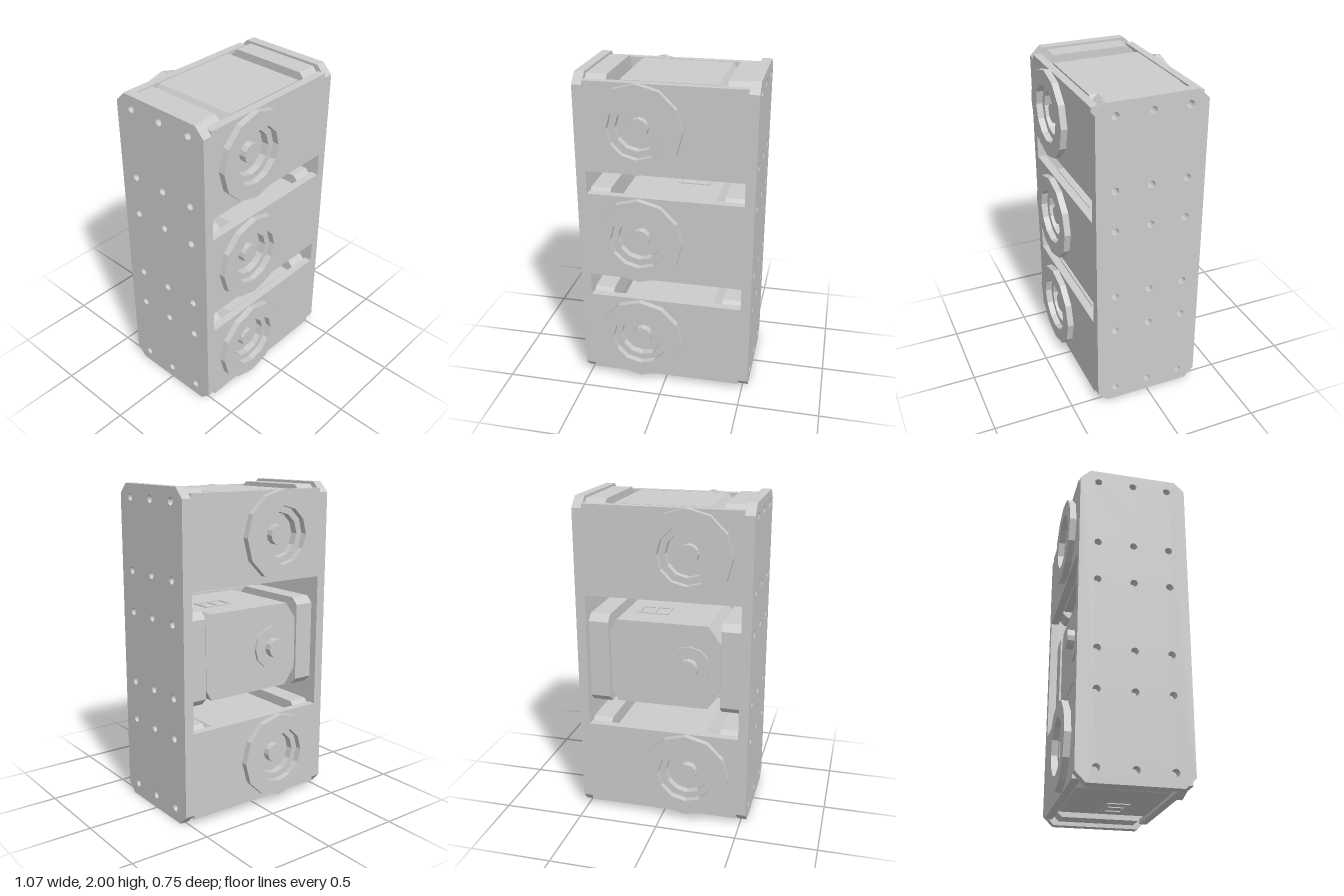
import * as THREE from 'three';

const material = new THREE.MeshStandardMaterial({ color: 0xcccccc, flatShading: true });
const SHAFT_X = -0.155;
const LEVELS = [0.31, 1.0, 1.7];

function polygon(points) {
  return new THREE.Shape(points.map(([x, y]) => new THREE.Vector2(x, y)));
}

// Rectangle with four equally cut corners
function chamferedRect(w, h, c, cy = 0) {
  const a = w / 2, b = h / 2;
  return polygon([[-a + c, -b], [a - c, -b], [a, -b + c], [a, b - c],
    [a - c, b], [-a + c, b], [-a, b - c], [-a, -b + c]].map(([x, y]) => [x, y + cy]));
}

function addHole(shape, x, y, r) {
  shape.holes.push(new THREE.Path().absarc(x, y, r, 0, Math.PI * 2, true));
}

function addWindow(shape, y0, y1) {
  shape.holes.push(new THREE.Path([[-0.475, y0], [-0.475, y1], [0.475, y1], [0.475, y0]]
    .map(([x, y]) => new THREE.Vector2(x, y))));
}

// Extrusion centred on its own depth
function extrude(shape, depth) {
  const g = new THREE.ExtrudeGeometry(shape, { depth, bevelEnabled: false, curveSegments: 6 });
  return g.translate(0, 0, -depth / 2);
}

function add(parent, name, geometry, x = 0, y = 0, z = 0) {
  const mesh = new THREE.Mesh(geometry, material);
  mesh.name = name;
  mesh.position.set(x, y, z);
  parent.add(mesh);
  return mesh;
}

// Side plates with rows of screw holes
function addSidePlates(group) {
  const shape = chamferedRect(0.67, 2, 0.062, 1);
  for (const y of [0.085, 0.53, 0.78, 1.225, 1.48, 1.92])
    for (const z of [-0.22, 0, 0.22]) addHole(shape, z, y, 0.023);
  const geometry = extrude(shape, 0.06).rotateY(Math.PI / 2);
  add(group, 'leftSidePlate', geometry, 0.505, 0, 0);
  add(group, 'rightSidePlate', geometry, -0.505, 0, 0);
}

// Front or back plate with bearing holes, windows and raised collars
function addFacePlate(group, name, side, levels, windows) {
  const shape = polygon([[-0.475, 0.035], [0.475, 0.035], [0.475, 1.965], [-0.475, 1.965]]);
  windows.forEach(([y0, y1]) => addWindow(shape, y0, y1));
  levels.forEach((y) => addHole(shape, SHAFT_X, y, 0.135));
  add(group, name, extrude(shape, 0.05), 0, 0, side * 0.31);

  const collar = new THREE.Shape().absarc(0, 0, 0.27, 0, Math.PI * 2);
  addHole(collar, 0, 0, 0.175);
  const geometry = extrude(collar, 0.04);
  levels.forEach((y) => add(group, name + 'Collar', geometry, SHAFT_X, y, side * 0.355));
}

// Motor with output discs on both faces and a connector socket
function makeMotor(flip) {
  const motor = new THREE.Group();
  motor.name = 'motor';
  const body = polygon([[-0.345, -0.16], [-0.27, -0.265], [0.3, -0.265], [0.34, -0.2],
    [0.34, 0.2], [0.3, 0.265], [-0.27, 0.265], [-0.345, 0.16]]);
  add(motor, 'motorBody', extrude(body, 0.55));
  const disc = new THREE.CylinderGeometry(0.133, 0.133, 0.58, 12).rotateX(Math.PI / 2).rotateZ(Math.PI / 2);
  const shaft = new THREE.CylinderGeometry(0.06, 0.06, 0.67, 12).rotateX(Math.PI / 2);
  add(motor, 'outputDisc', disc, SHAFT_X);
  add(motor, 'outputShaft', shaft, SHAFT_X);

  const socket = polygon([[-0.1, -0.07], [0.1, -0.07], [0.1, 0.07], [-0.1, 0.07]]);
  for (const s of [-1, 1]) {
    const x = s * 0.047;
    socket.holes.push(new THREE.Path([[x - 0.035, -0.05], [x - 0.035, 0.05],
      [x + 0.035, 0.05], [x + 0.035, -0.05]].map(([a, b]) => new THREE.Vector2(a, b))));
  }
  add(motor, 'connectorSocket', extrude(socket, 0.008).rotateX(Math.PI / 2),
    0.12, flip * 0.267, flip * -0.04);
  return motor;
}

export function createModel() {
  const group = new THREE.Group();
  group.name = 'motorFrame';
  addSidePlates(group);
  addFacePlate(group, 'frontPlate', 1, LEVELS, [[0.585, 0.73], [1.275, 1.42]]);
  addFacePlate(group, 'backPlate', -1, [LEVELS[0], LEVELS[2]], [[0.58, 1.42]]);

  // Motors and the chamfered mounting blocks at their ends
  const block = extrude(chamferedRect(0.57, 0.57, 0.042), 0.125).rotateY(Math.PI / 2);
  LEVELS.forEach((y, i) => {
    const motor = makeMotor(i === 1 ? 1 : -1);
    motor.position.y = y;
    group.add(motor);
    for (const s of [-1, 1]) add(group, 'mountingBlock', block, s * 0.4125, y, 0);
  });
  return group;
}
